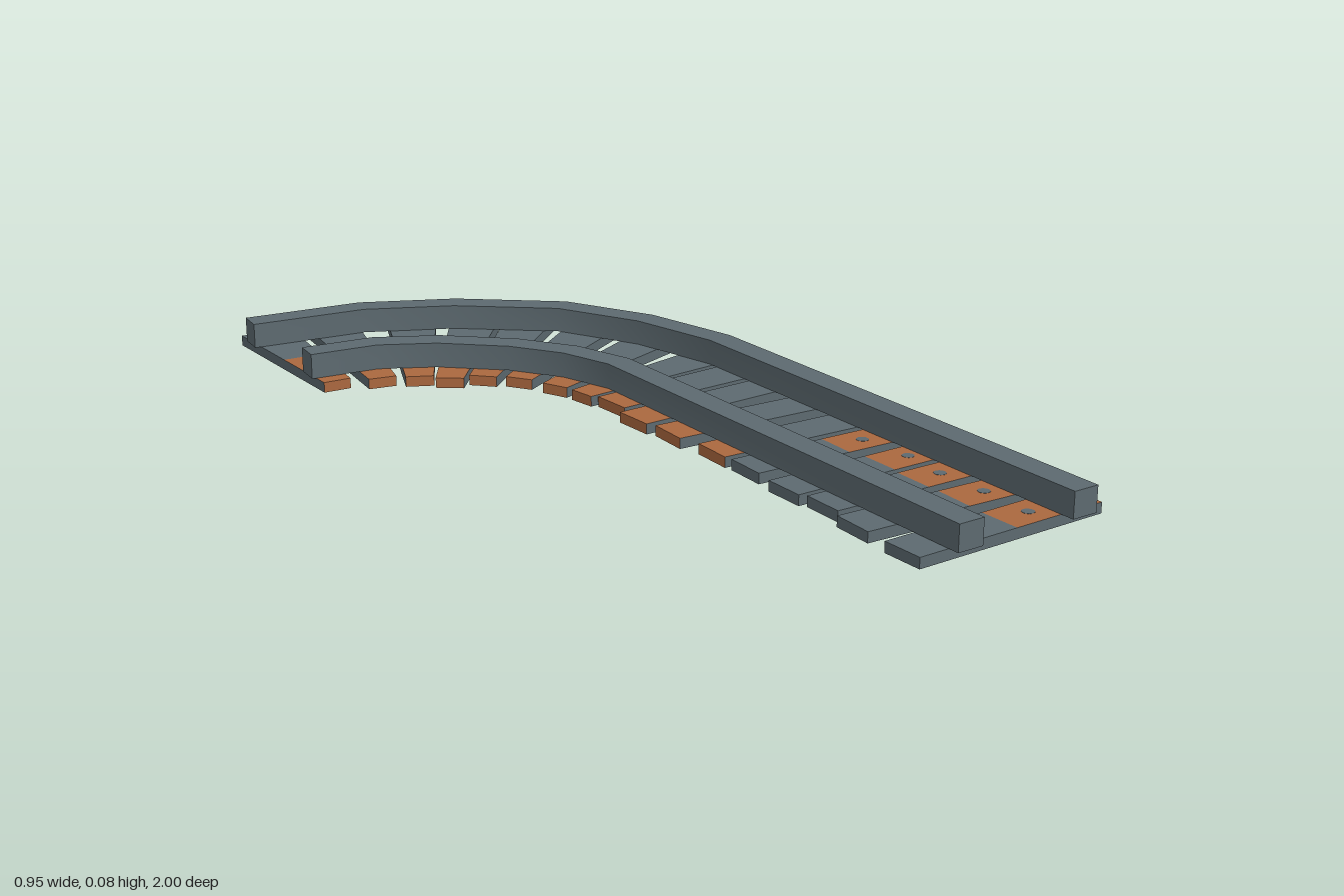
import * as THREE from 'three';
import { toCreasedNormals } from 'three/addons/utils/BufferGeometryUtils.js';

const TIE_TOP = 0.024, RAIL_BOTTOM = 0.025, RAIL_TOP = 0.083, RAIL_WIDTH = 0.062;

// Rail centre lines as [x, z], from the curved end to the straight end
const INNER_RAIL = [[-0.47, -0.63], [-0.305, -0.61], [-0.175, -0.54], [-0.045, -0.42],
  [0.035, -0.3], [0.077, -0.165], [0.077, 1]];
const OUTER_RAIL = [[-0.475, -0.92], [-0.195, -0.885], [0.01, -0.785], [0.215, -0.615],
  [0.32, -0.41], [0.372, -0.18], [0.372, 1]];

// Tie centre lines: inner end x, z, then outer end x, z
const CURVED_TIES = [
  [-0.43, -0.56, -0.4, -0.995], [-0.335, -0.52, -0.24, -0.975], [-0.26, -0.48, -0.04, -0.92],
  [-0.21, -0.43, 0.1, -0.83], [-0.14, -0.4, 0.22, -0.75], [-0.08, -0.34, 0.295, -0.59],
  [-0.04, -0.25, 0.395, -0.44], [-0.02, -0.17, 0.45, -0.24],
];
const STRAIGHT_TIES = [
  [0, -0.08, 0.445, -0.105], [-0.02, 0.035, 0.46, 0.015], [-0.01, 0.15, 0.45, 0.17],
  [0, 0.295, 0.445, 0.31], [0, 0.41, 0.445, 0.425], [-0.01, 0.55, 0.47, 0.55],
  [0, 0.66, 0.445, 0.665], [-0.02, 0.775, 0.46, 0.795], [-0.025, 0.925, 0.455, 0.915],
];

// Rail: mitred ribbon outline extruded upward
function railGeometry(path) {
  const pts = path.map(([x, z]) => new THREE.Vector2(x, -z));
  const left = [], right = [];
  pts.forEach((p, i) => {
    const a = pts[Math.max(i - 1, 0)], b = pts[Math.min(i + 1, pts.length - 1)];
    const d1 = (i ? p.clone().sub(a) : b.clone().sub(p)).normalize();
    const d2 = (b === p ? d1.clone() : b.clone().sub(p)).normalize();
    const d = d1.clone().add(d2).normalize();
    const n = new THREE.Vector2(-d.y, d.x).multiplyScalar(RAIL_WIDTH / 2 / d.dot(d1));
    left.push(p.clone().add(n));
    right.push(p.clone().sub(n));
  });
  const shape = new THREE.Shape([...left, ...right.reverse()]);
  const g = new THREE.ExtrudeGeometry(shape, { depth: RAIL_TOP - RAIL_BOTTOM, bevelEnabled: false });
  g.rotateX(-Math.PI / 2).translate(0, RAIL_BOTTOM, 0);
  return toCreasedNormals(g, 0.6);
}

// Part of a tapered tie between fractions u0 and u1 of its length
function tieGeometry([xi, zi, xo, zo], wi, wo, u0, u1) {
  const len = Math.hypot(xo - xi, zo - zi);
  const dx = (xo - xi) / len, dz = (zo - zi) / len;
  const g = new THREE.BoxGeometry(1, TIE_TOP, 1).translate(0, TIE_TOP / 2, 0);
  const p = g.attributes.position;
  for (let i = 0; i < p.count; i++) {
    const u = THREE.MathUtils.lerp(u0, u1, p.getX(i) + 0.5);
    const v = p.getZ(i) * THREE.MathUtils.lerp(wi, wo, u);
    p.setXYZ(i, xi + dx * len * u - dz * v, p.getY(i), zi + dz * len * u + dx * v);
  }
  g.computeVertexNormals();
  return g;
}

export function createModel() {
  const steel = new THREE.MeshStandardMaterial({ color: 0x5d6a70 });
  steel.name = 'slate grey';
  const rust = new THREE.MeshStandardMaterial({ color: 0xab683f });
  rust.name = 'rust orange';

  const model = new THREE.Group();
  model.name = 'curvedTrack';
  const add = (parent, name, geometry, material) => {
    const mesh = new THREE.Mesh(geometry, material);
    mesh.name = name;
    parent.add(mesh);
    return mesh;
  };

  add(model, 'innerRail', railGeometry(INNER_RAIL), steel);
  add(model, 'outerRail', railGeometry(OUTER_RAIL), steel);

  // Ties: one half rust, one half grey, grey along the long sides
  const rustFaces = [rust, rust, rust, rust, steel, steel];
  const addTie = (line, wi, wo, rustOutside) => {
    const tie = new THREE.Group();
    tie.name = 'tie';
    const split = rustOutside ? 0.52 : 0.47;
    add(tie, 'innerHalf', tieGeometry(line, wi, wo, 0, split), rustOutside ? steel : rustFaces);
    add(tie, 'outerHalf', tieGeometry(line, wi, wo, split, 1), rustOutside ? rustFaces : steel);
    // Bolt head on the rust half
    const u = rustOutside ? 0.68 : 0.31;
    const bolt = add(tie, 'bolt', new THREE.CylinderGeometry(0.014, 0.014, 0.001, 10), steel);
    bolt.position.set(line[0] + (line[2] - line[0]) * u, TIE_TOP, line[1] + (line[3] - line[1]) * u);
    model.add(tie);
  };
  CURVED_TIES.forEach((line) => addTie(line, 0.065, 0.125, false));
  STRAIGHT_TIES.forEach((line, i) => addTie(line, 0.097, i ? 0.097 : 0.11, i > 3));

  return model;
}
